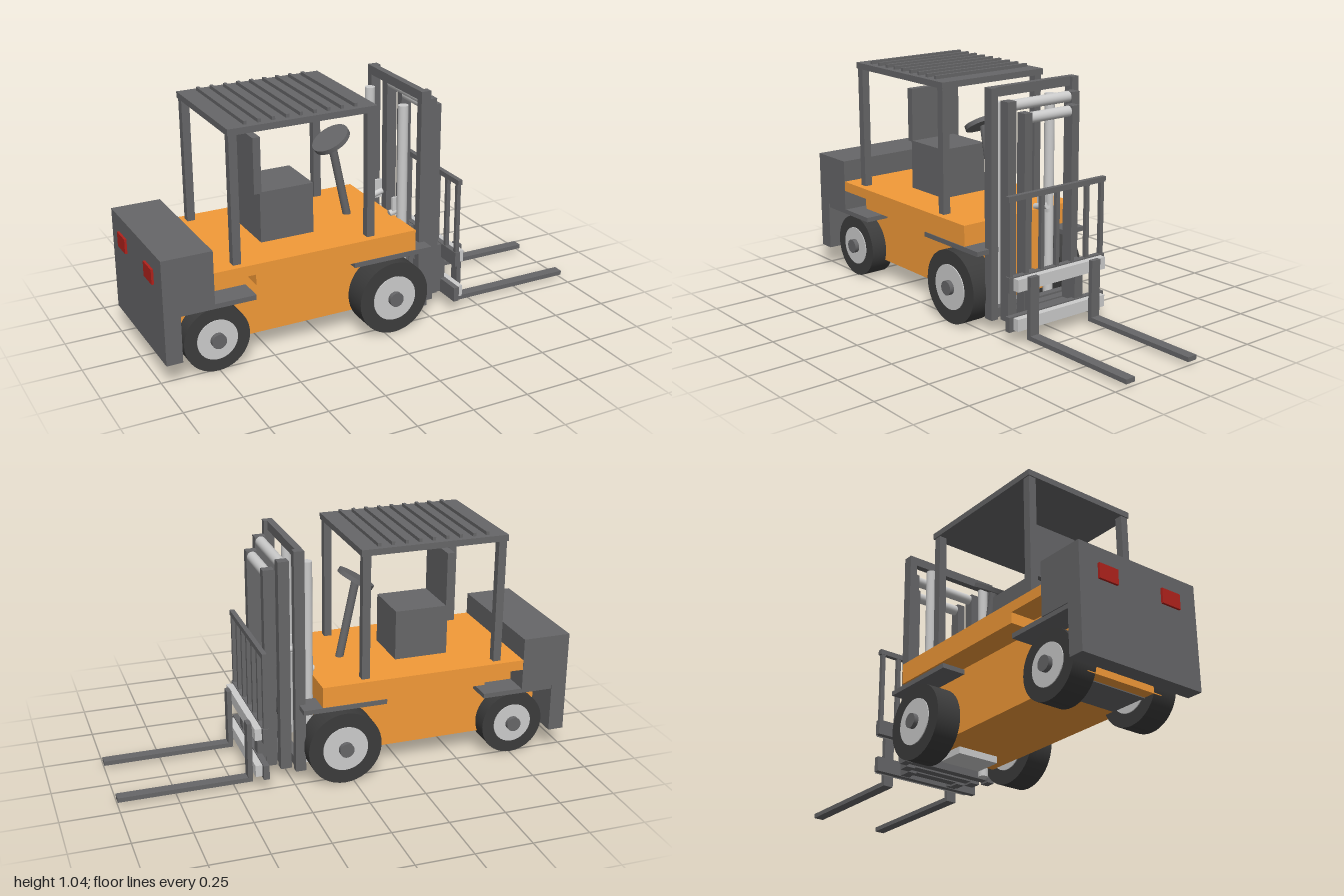
import * as THREE from 'three';

const mat = (color) => new THREE.MeshStandardMaterial({ color });

export function createModel() {
  const root = new THREE.Group();
  const dark = mat(0x666668), light = mat(0xcccccc), orange = mat(0xf39a38);
  const rubber = mat(0x3c3c3c), red = mat(0xb0221c);

  const add = (name, geo, m, parent = root) => {
    const mesh = new THREE.Mesh(geo, m);
    mesh.name = name;
    parent.add(mesh);
    return mesh;
  };
  // box given by its limits on each axis
  const box = (name, m, x0, x1, y0, y1, z0, z1) => {
    const b = add(name, new THREE.BoxGeometry(x1 - x0, y1 - y0, z1 - z0), m);
    b.position.set((x0 + x1) / 2, (y0 + y1) / 2, (z0 + z1) / 2);
  };
  // the same box on both sides of the truck
  const pair = (name, m, x0, x1, y0, y1, z0, z1) => {
    box(name + 'Left', m, x0, x1, y0, y1, z0, z1);
    box(name + 'Right', m, x0, x1, y0, y1, -z1, -z0);
  };
  // side profile extruded across the width
  const slab = (name, m, pts, halfWidth) => {
    const shape = new THREE.Shape(pts.map(([x, y]) => new THREE.Vector2(x, y)));
    const g = new THREE.ExtrudeGeometry(shape, { depth: 2 * halfWidth, bevelEnabled: false });
    return add(name, g.translate(0, 0, -halfWidth), m);
  };
  // cylinder between two points
  const rod = (name, m, a, b, r) => {
    const p = new THREE.Vector3(...a), q = new THREE.Vector3(...b);
    const d = q.clone().sub(p);
    const c = add(name, new THREE.CylinderGeometry(r, r, d.length(), 24), m);
    c.position.copy(p).add(q).multiplyScalar(0.5);
    c.quaternion.setFromUnitVectors(new THREE.Vector3(0, 1, 0), d.normalize());
  };

  // body: wide deck overhanging a narrow chassis
  slab('deck', orange, [[-0.775, 0.413], [-0.595, 0.413], [-0.595, 0.367], [0.14, 0.367], [0.14, 0.458], [-0.775, 0.458]], 0.3);
  box('chassis', orange, -0.89, 0.138, 0.09, 0.42, -0.187, 0.187);
  box('steerAxle', dark, -0.84, -0.67, 0.086, 0.16, -0.186, 0.186);
  box('driveHousing', light, 0.0, 0.13, 0.06, 0.12, -0.1, 0.1);

  // counterweight with rear lamps
  slab('counterweight', dark, [[-0.99, 0.1], [-0.92, 0.1], [-0.92, 0.32], [-0.775, 0.32], [-0.775, 0.555], [-0.99, 0.555]], 0.302);
  pair('rearLamp', red, -1, -0.985, 0.42, 0.485, 0.115, 0.21);

  // fenders
  pair('frontFender', dark, -0.147, 0.222, 0.342, 0.363, 0.185, 0.296);
  pair('rearFender', dark, -0.92, -0.595, 0.301, 0.322, 0.185, 0.298);

  // wheels
  const wheel = (name, x, z, r, rimR, side) => {
    const g = new THREE.Group();
    g.name = name;
    const disc = (part, radius, width, m) => add(part, new THREE.CylinderGeometry(radius, radius, width, 40), m, g);
    disc('tire', r, 0.112, rubber);
    disc('rim', rimR, 0.12, light);
    disc('hub', 0.032, 0.16, dark);
    g.rotation.x = Math.PI / 2;
    g.position.set(x, r, side * z);
    root.add(g);
  };
  for (const s of [1, -1]) {
    const label = s > 0 ? 'Left' : 'Right';
    wheel('frontWheel' + label, 0.04, 0.245, 0.163, 0.1, s);
    wheel('rearWheel' + label, -0.756, 0.205, 0.143, 0.088, s);
  }

  // overhead guard
  pair('rearPost', dark, -0.68, -0.645, 0.455, 1.01, 0.235, 0.27);
  pair('frontPost', dark, -0.077, -0.042, 0.455, 1.01, 0.235, 0.27);
  box('roof', dark, -0.685, -0.035, 1.003, 1.03, -0.275, 0.275);
  for (let i = 0; i < 9; i++) {
    const x = -0.6 + i * 0.06;
    box('roofSlat', dark, x - 0.007, x + 0.007, 1.03, 1.045, -0.25, 0.25);
  }

  // seat and steering
  box('seat', dark, -0.49, -0.25, 0.455, 0.68, -0.115, 0.115);
  box('seatBack', dark, -0.515, -0.482, 0.675, 0.918, -0.115, 0.115);
  rod('steeringColumn', dark, [-0.033, 0.455, 0], [-0.107, 0.805, 0], 0.018);
  const steering = add('steeringWheel', new THREE.CylinderGeometry(0.085, 0.085, 0.02, 32), dark);
  steering.position.set(-0.107, 0.81, 0);
  steering.rotation.z = 0.54;

  // three nested mast stages
  const stages = [['outer', 0.195, 0.24, 1.04, 0.2, 0.235], ['middle', 0.247, 0.295, 0.988, 0.15, 0.193], ['inner', 0.297, 0.345, 0.943, 0.108, 0.147]];
  for (const [name, x0, x1, top, z0, z1] of stages) {
    pair(name + 'MastRail', dark, x0, x1, 0.052, top, z0, z1);
    box(name + 'MastFoot', dark, x0 + 0.005, x1 - 0.005, 0.06, 0.1, -z0, z0);
  }
  box('mastTopBeam', dark, 0.195, 0.225, 1.0, 1.04, -0.2, 0.2);
  rod('upperRoller', light, [0.27, 0.967, -0.15], [0.27, 0.967, 0.15], 0.023);
  rod('lowerRoller', light, [0.32, 0.918, -0.108], [0.32, 0.918, 0.108], 0.023);

  // lift and tilt cylinders
  for (const s of [1, -1]) {
    rod('liftCylinder', light, [0.158, 0.052, s * 0.147], [0.158, 0.965, s * 0.147], 0.022);
    rod('tiltCylinder', light, [0.12, 0.465, s * 0.105], [0.2, 0.485, s * 0.105], 0.014);
    box('tiltBracket', light, 0.13, 0.2, 0.455, 0.54, s * 0.11 - 0.006, s * 0.11 + 0.006);
  }

  // carriage and load backrest
  for (const [y0, y1] of [[0.23, 0.283], [0.06, 0.112]]) {
    box('carriageRear', dark, 0.365, 0.39, y0 - 0.008, y1 + 0.005, -0.263, 0.263);
    box('carriageBar', light, 0.39, 0.42, y0, y1, -0.241, 0.241);
  }
  pair('carriagePlate', dark, 0.345, 0.385, 0.055, 0.285, 0.1, 0.145);
  box('backrestTop', dark, 0.367, 0.388, 0.605, 0.628, -0.265, 0.265);
  for (let i = -3; i <= 3; i++) {
    const z = i * 0.083;
    box('backrestBar', dark, 0.368, 0.386, 0.28, 0.61, z - 0.009, z + 0.009);
  }

  // forks
  for (const s of [1, -1]) {
    const fork = slab('fork' + (s > 0 ? 'Left' : 'Right'), dark, [[0.42, 0.015], [1, 0.015], [1, 0.035], [0.441, 0.035], [0.441, 0.288], [0.42, 0.288]], 0.023);
    fork.position.z = s * 0.17;
  }
  return root;
}
